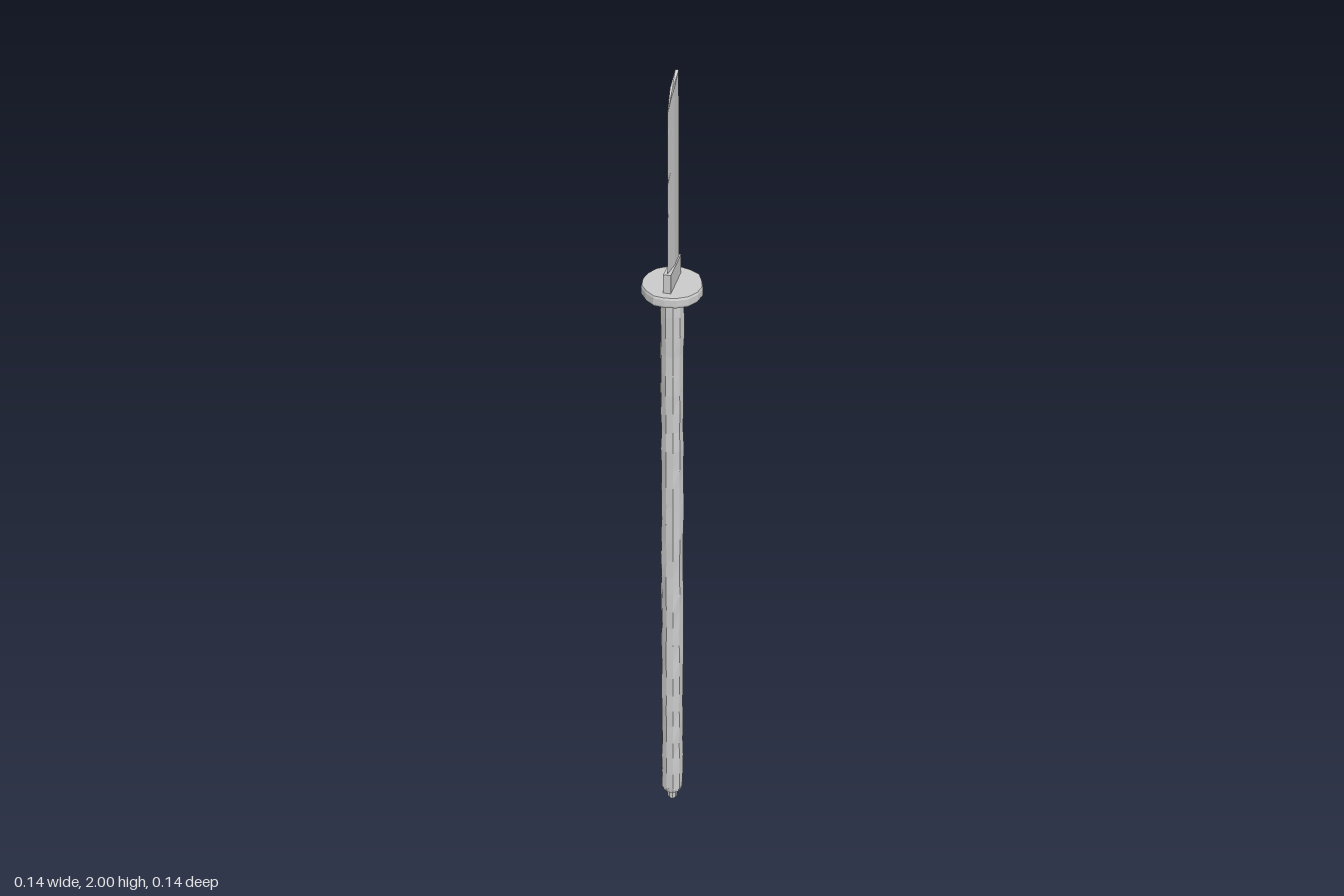
import * as THREE from 'three';

const material = new THREE.MeshStandardMaterial({ color: 0xcccccc, flatShading: true });

// Small seeded random source for the hand-carved unevenness
let seed = 7;
const rand = () => {
  seed = (seed * 16807) % 2147483647;
  return (seed / 2147483647) * 2 - 1;
};

// Skins closed rings of [x, y, z] points from bottom to top and caps both ends
function loft(name, rings) {
  const n = rings[0].length, pos = rings.flat(2), idx = [];
  for (let j = 0; j < rings.length - 1; j++) {
    for (let i = 0; i < n; i++) {
      const a = j * n + i, b = j * n + (i + 1) % n;
      idx.push(a, a + n, b, b, a + n, b + n);
    }
  }
  const cap = (ring, start, flip) => {
    const c = pos.length / 3;
    for (let k = 0; k < 3; k++) pos.push(ring.reduce((s, p) => s + p[k], 0) / n);
    for (let i = 0; i < n; i++) {
      const a = start + i, b = start + (i + 1) % n;
      if (flip) idx.push(c, b, a);
      else idx.push(c, a, b);
    }
  };
  cap(rings[0], 0, false);
  cap(rings[rings.length - 1], (rings.length - 1) * n, true);
  const geo = new THREE.BufferGeometry();
  geo.setAttribute('position', new THREE.Float32BufferAttribute(pos, 3));
  geo.setIndex(idx);
  geo.computeVertexNormals();
  const mesh = new THREE.Mesh(geo, material);
  mesh.name = name;
  return mesh;
}

// Horizontal ring with slightly uneven radius
function ring(radius, y, sides, wobble = 0) {
  return Array.from({ length: sides }, (_, i) => {
    const a = (i / sides) * Math.PI * 2, r = radius + rand() * wobble;
    return [Math.cos(a) * r, y, Math.sin(a) * r];
  });
}

export function createModel() {
  seed = 7;
  const group = new THREE.Group();

  // Rough wooden shaft
  const shaft = [];
  for (let j = 0; j <= 28; j++) shaft.push(ring(0.0265, 0.045 + (j / 28) * 1.437, 10, 0.0015));
  group.add(loft('shaft', shaft));

  // Stepped cap at the foot of the shaft
  const foot = [[0.007, 0], [0.012, 0.008], [0.013, 0.025], [0.023, 0.034], [0.026, 0.048]];
  group.add(loft('footCap', foot.map(([r, y]) => ring(r, y, 10))));

  // Round guard with a chipped rim
  const rim = ring(0.068, 1.482, 16, 0.002);
  const at = (s, y) => rim.map(([x, , z]) => [x * s, y, z * s]);
  group.add(loft('guard', [at(0.97, 1.481), at(1, 1.486), at(1, 1.501), at(0.97, 1.506)]));

  // Collar that holds the blade
  const collar = new THREE.Mesh(new THREE.BoxGeometry(0.017, 0.05, 0.09), material);
  collar.position.y = 1.527;
  collar.name = 'collar';
  group.add(collar);

  // Blade: thick spine at the back, edge at the front, slanted point
  const section = [
    [0.005, -0.04, 2], [0.006, 0, 1.978], [0.003, 0.02, 1.962], [0, 0.041, 1.935],
    [-0.003, 0.02, 1.962], [-0.006, 0, 1.978], [-0.005, -0.04, 2],
  ];
  const rows = [0, 0.15, 0.27, 0.4, 0.42, 0.45, 0.6, 0.62, 0.65, 0.87, 0.89, 0.92, 1];
  const nicks = { 0.42: 0.006, 0.62: 0.006, 0.89: 0.004 };
  group.add(loft('blade', rows.map((t) => section.map(([x, z, top]) => [
    x * (1 - 0.25 * t),
    THREE.MathUtils.lerp(1.52, top, t),
    z > 0.04 ? z - (nicks[t] || 0) : z,
  ]))));

  return group;
}
